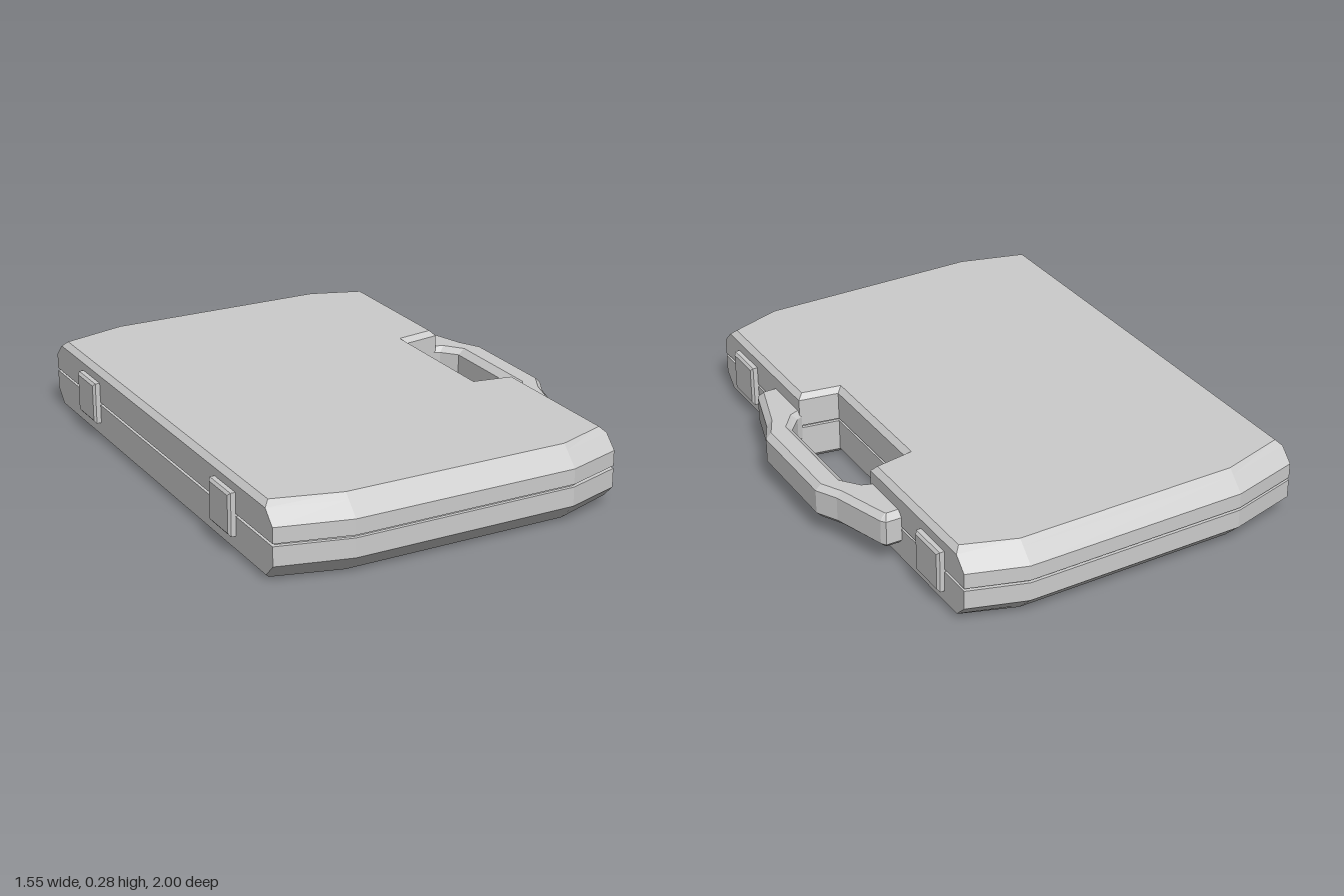
import * as THREE from 'three';

const material = new THREE.MeshStandardMaterial({ color: 0xcccccc, flatShading: true });

// Closed solid through stacked [x, z] outlines: rings = [[y, outline], ...] from bottom to top.
function loft(rings) {
  const n = rings[0][1].length;
  const positions = rings.flatMap(([y, outline]) => outline.flatMap(([x, z]) => [x, y, z]));
  const index = [];
  for (let r = 0; r < rings.length - 1; r++) {
    for (let i = 0; i < n; i++) {
      const a = r * n + i, b = r * n + (i + 1) % n;
      index.push(a, a + n, b, b, a + n, b + n);
    }
  }
  // end caps
  const cap = (outline, start, up) => {
    const pts = outline.map(([x, z]) => new THREE.Vector2(x, z));
    for (const [p, q, r] of THREE.ShapeUtils.triangulateShape(pts, [])) {
      const facesUp = THREE.ShapeUtils.area([pts[p], pts[q], pts[r]]) < 0;
      index.push(start + p, ...(facesUp === up ? [start + q, start + r] : [start + r, start + q]));
    }
  };
  cap(rings[0][1], 0, false);
  cap(rings.at(-1)[1], (rings.length - 1) * n, true);
  const geometry = new THREE.BufferGeometry();
  geometry.setAttribute('position', new THREE.Float32BufferAttribute(positions, 3));
  geometry.setIndex(index);
  const flat = geometry.toNonIndexed();
  flat.computeVertexNormals();
  return flat;
}

// Completes the +z half of an outline with its mirror image.
const mirrorZ = (half) => [...half, ...half.map(([x, z]) => [x, -z]).reverse()];

// Case outline with a grip notch; s insets the long sides, e insets the ends.
const caseOutline = (s, e) => mirrorZ([
  [0.445 - s, 0.255 + s * 0.8], [0.595 - s, 0.28 + s * 0.8], [0.595 - s, 0.93 - e],
  [0.38, 1 - e], [-0.48, 1 - e], [-0.75 + s, 0.93 - e],
]);

// Handle outline, shrunk by bevel t.
const handleOutline = (t) => mirrorZ([
  [0.772 - t, 0.2], [0.73 - t, 0.28], [0.668 - t, 0.485 - t * 0.3], [0.655 - t * 0.6, 0.503 - t],
  [0.585, 0.503 - t], [0.585, 0.28 + t * 0.8], [0.61 + t, 0.268 + t * 0.5], [0.66 + t * 1.2, 0.21],
]);

// Small chamfered plate whose outer face points to +x.
function plate() {
  const rect = (h) => [[h, h], [-h, h], [-h, -h], [h, -h]];
  return loft([[-0.01, rect(0.08)], [0.018, rect(0.08)], [0.026, rect(0.07)]]).rotateZ(-Math.PI / 2);
}

export function createModel() {
  const group = new THREE.Group();
  const add = (name, geometry) => {
    const mesh = new THREE.Mesh(geometry, material);
    mesh.name = name;
    group.add(mesh);
    return mesh;
  };

  // chamfered shell with the seam groove between its two halves
  add('caseShell', loft([
    [0, caseOutline(0.02, 0.07)],
    [0.02, caseOutline(0, 0.05)],
    [0.07, caseOutline(0, 0)],
    [0.142, caseOutline(0, 0)],
    [0.142, caseOutline(0.013, 0.013)],
    [0.152, caseOutline(0.013, 0.013)],
    [0.152, caseOutline(0, 0)],
    [0.21, caseOutline(0, 0)],
    [0.26, caseOutline(0, 0.05)],
    [0.28, caseOutline(0.02, 0.07)],
  ]));

  // carrying handle bridging the notch
  add('handle', loft([
    [0.075, handleOutline(0.022)],
    [0.097, handleOutline(0)],
    [0.19, handleOutline(0)],
    [0.212, handleOutline(0.022)],
  ]));

  // latches on the handle side, hinges on the opposite side
  for (const side of [1, -1]) {
    add('latch', plate()).position.set(0.595, 0.145, side * 0.72);
    const hinge = add('hinge', plate());
    hinge.position.set(-0.75, 0.15, side * 0.58);
    hinge.rotation.y = Math.PI;
  }
  return group;
}
